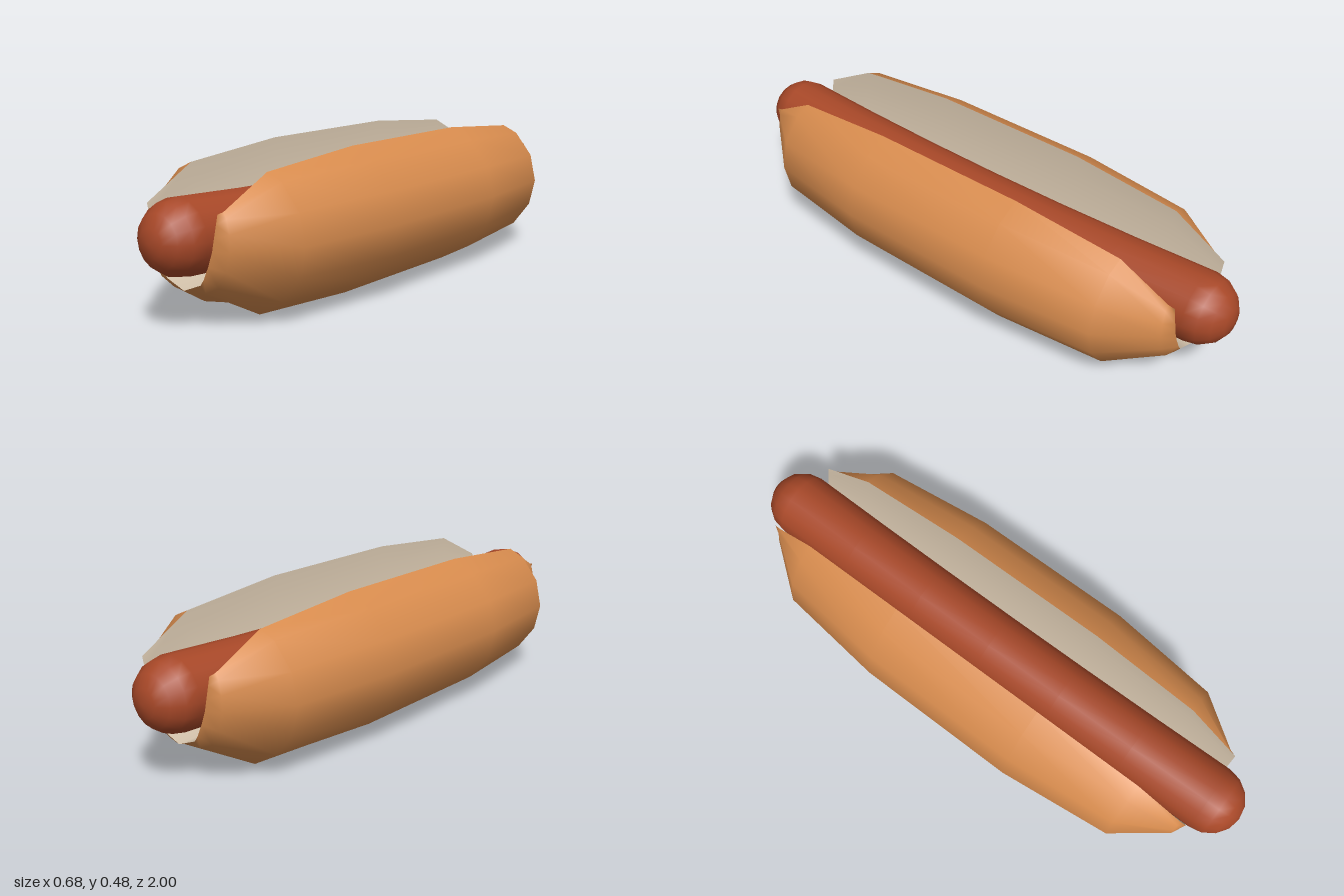
import * as THREE from 'three';

const bunCrust = new THREE.MeshStandardMaterial({ name: 'bunCrust', color: 0xd88c4e });
const bunCrumb = new THREE.MeshStandardMaterial({ name: 'bunCrumb', color: 0xd3c2ab });
const sausageSkin = new THREE.MeshStandardMaterial({ name: 'sausageSkin', color: 0xa84828 });

// Half cross-sections [x, y], from the upper lip down to the centre line
const outerMid = [[0.163, 0.487], [0.242, 0.445], [0.317, 0.358], [0.342, 0.255], [0.317, 0.15], [0.242, 0.062], [0.13, 0.003], [0, 0.016]];
const outerTaper = [[0.155, 0.455], [0.21, 0.43], [0.275, 0.35], [0.297, 0.253], [0.275, 0.16], [0.21, 0.076], [0.115, 0.022], [0, 0.038]];
const outerEnd = [[0.145, 0.365], [0.156, 0.345], [0.165, 0.302], [0.165, 0.25], [0.15, 0.19], [0.117, 0.14], [0.065, 0.116], [0, 0.112]];
const innerEnd = [[0.143, 0.36], [0.136, 0.33], [0.127, 0.29], [0.118, 0.25], [0.101, 0.205], [0.082, 0.165], [0.069, 0.146], [0, 0.119]];
const innerTaper = [[0.155, 0.455], [0.15, 0.4], [0.136, 0.325], [0.116, 0.25], [0.1, 0.21], [0.08, 0.17], [0.067, 0.149], [0, 0.121]];
const innerMid = [[0.163, 0.487], [0.156, 0.42], [0.139, 0.335], [0.116, 0.25], [0.099, 0.21], [0.079, 0.17], [0.066, 0.15], [0, 0.122]];

// Skin a surface over mirrored sections; front half is listed from the middle outwards
function loft(frontHalf, inward) {
  const rings = [...frontHalf.map(([z, s]) => [-z, s]).reverse(), ...frontHalf];
  const positions = [], index = [];
  for (const [z, half] of rings) {
    const left = half.slice(0, -1).reverse().map(([x, y]) => [-x, y]);
    for (const [x, y] of [...half, ...left]) positions.push(x, y, z);
  }
  const n = outerMid.length * 2 - 1;
  for (let i = 0; i < rings.length - 1; i++) {
    for (let j = 0; j < n - 1; j++) {
      const a = i * n + j, b = a + n;
      if (inward) index.push(a, a + 1, b, a + 1, b + 1, b);
      else index.push(a, b, a + 1, a + 1, b, b + 1);
    }
  }
  const geometry = new THREE.BufferGeometry();
  geometry.setAttribute('position', new THREE.Float32BufferAttribute(positions, 3));
  geometry.setIndex(index);
  geometry.computeVertexNormals();
  return geometry;
}

function addMesh(group, name, geometry, material) {
  const mesh = new THREE.Mesh(geometry, material);
  mesh.name = name;
  group.add(mesh);
}

export function createModel() {
  const model = new THREE.Group();
  model.name = 'hotDog';

  // Bun: tapered crust outside, pale crumb lining the opening
  const bun = new THREE.Group();
  bun.name = 'bun';
  addMesh(bun, 'crust', loft([[0.29, outerMid], [0.68, outerTaper], [0.85, outerEnd], [0.872, innerEnd]], false), bunCrust);
  addMesh(bun, 'crumb', loft([[0.29, innerMid], [0.68, innerTaper], [0.872, innerEnd]], true), bunCrumb);
  model.add(bun);

  // Sausage: a capsule that sags slightly in the middle
  const radius = 0.117, length = 2 - 2 * radius;
  const sausage = new THREE.CapsuleGeometry(radius, length, 4, 16, 6);
  sausage.rotateX(Math.PI / 2);
  const p = sausage.attributes.position;
  for (let i = 0; i < p.count; i++) {
    const t = Math.min(1, Math.abs(p.getZ(i)) / (length / 2));
    p.setY(i, p.getY(i) + 0.28 - 0.026 * (1 - t * t));
  }
  addMesh(model, 'sausage', sausage, sausageSkin);

  return model;
}
